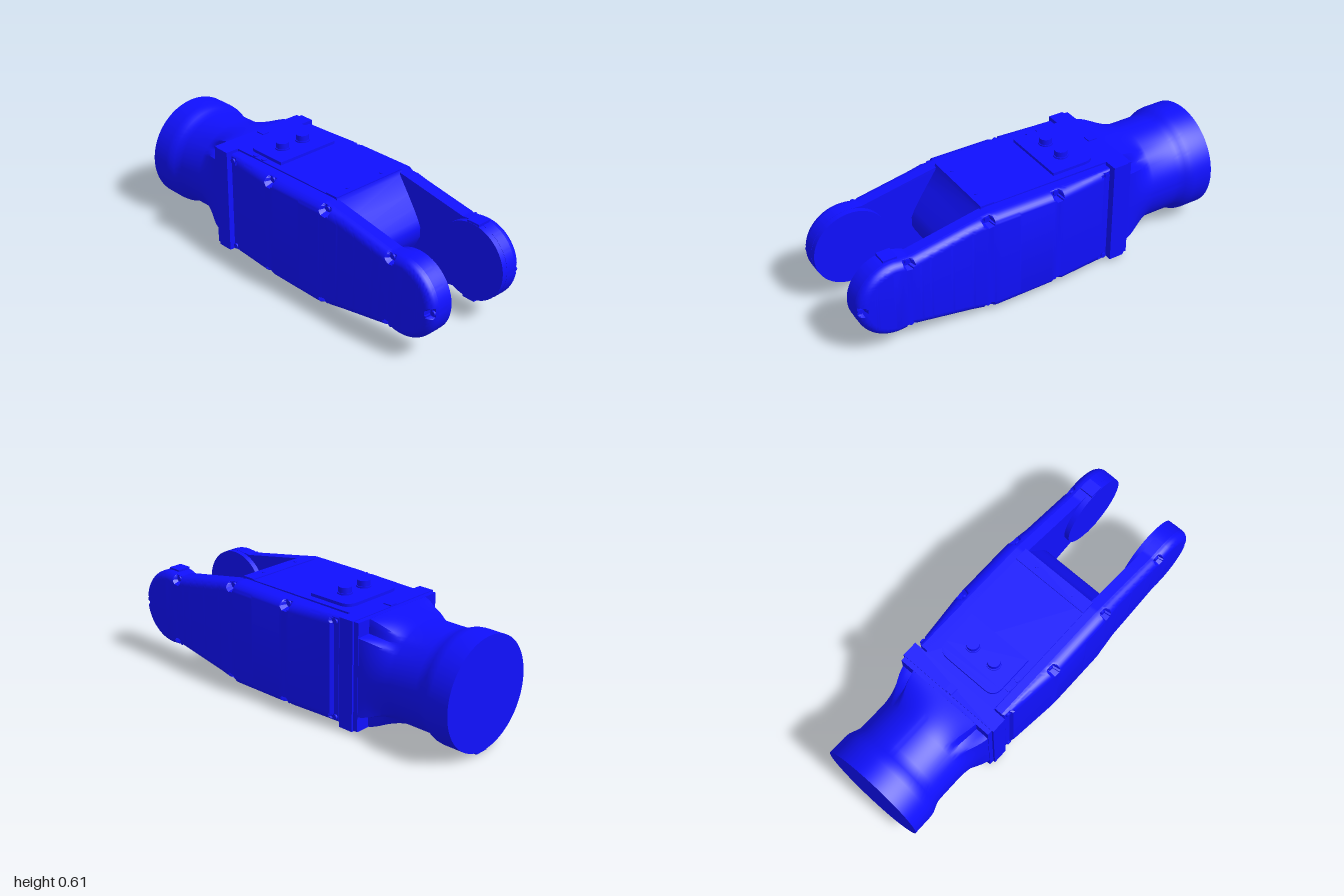
import * as THREE from 'three';
import { toCreasedNormals } from 'three/addons/utils/BufferGeometryUtils.js';

const BLUE = new THREE.MeshStandardMaterial({ color: 0x1010ff });
const MID = 0.288; // height of the long axis
const { lerp, smoothstep } = THREE.MathUtils;

function add(parent, name, geometry, x = 0, y = 0, z = 0) {
  const mesh = new THREE.Mesh(geometry, BLUE);
  mesh.name = name;
  mesh.position.set(x, y, z);
  parent.add(mesh);
  return mesh;
}
const box = (w, h, d) => new THREE.BoxGeometry(w, h, d);
const cylY = (r, h, n = 32) => new THREE.CylinderGeometry(r, r, h, n);
const cylZ = (r, h, n = 32) => cylY(r, h, n).rotateX(Math.PI / 2);

function indexed(points, index, crease = 0.5) {
  const g = new THREE.BufferGeometry();
  g.setAttribute('position', new THREE.Float32BufferAttribute(points, 3));
  g.setIndex(index);
  return toCreasedNormals(g, crease);
}

function extrude(points, z0, z1) {
  const shape = new THREE.Shape(points.map(([x, y]) => new THREE.Vector2(x, y)));
  const g = new THREE.ExtrudeGeometry(shape, { depth: z1 - z0, bevelEnabled: false });
  return toCreasedNormals(g.translate(0, 0, z0), 0.5);
}

// Upper half of the side outline: [x, half height], from rear to rounded tip
function halfOutline() {
  const keys = [[-0.37, 0.263], [0.3, 0.267], [0.72, 0.19], [0.77, 0.194]];
  const out = [];
  for (let i = 0; i < keys.length - 1; i++) {
    const [a, b] = [keys[i], keys[i + 1]];
    const n = Math.ceil((b[0] - a[0]) / 0.01);
    for (let k = 0; k < n; k++) out.push([lerp(a[0], b[0], k / n), lerp(a[1], b[1], k / n)]);
  }
  for (let k = 0; k <= 32; k++) {
    const a = (1 - k / 32) * Math.PI / 2;
    out.push([0.8 + 0.196 * Math.cos(a), 0.196 * Math.sin(a)]);
  }
  return out;
}
const HALF = halfOutline();
const flip = ([x, y]) => [x, -y];
const loopOf = (half) => [...half.map(flip), ...half.slice().reverse()];

// Screw pockets along the cover rim
const SCREWS = [[-0.345, 0.238], [-0.05, 0.25], [0.325, 0.245], [0.735, 0.175]]
  .flatMap((p) => [p, flip(p)]).concat([[0.98, 0]]);

// Outer face of the cover, swelling in the middle
function coverZ(x) {
  if (x < -0.05) return lerp(0.274, 0.307, (x + 0.37) / 0.32);
  return lerp(0.307, 0.295, Math.min(1, Math.max(0, (x - 0.28) / 0.14)));
}

// Cover: rings stepping inward over a rounded rim, capped by strips
function coverGeometry() {
  const base = 0.25, steps = 8, radius = 0.045, N = HALF.length, M = 2 * N;
  const normals = HALF.map((p, i) => {
    if (i === 0) return [-1, 1];
    if (i === N - 1) return [1, 0];
    const dx = HALF[i + 1][0] - HALF[i - 1][0], dy = HALF[i + 1][1] - HALF[i - 1][1];
    const l = Math.hypot(dx, dy);
    return [-dy / l, dx / l];
  });
  const points = [], index = [];
  for (let k = 0; k <= steps; k++) {
    const a = (k / steps) * Math.PI / 2, d = radius * (1 - Math.cos(a));
    const ring = loopOf(HALF.map(([x, h], i) => [x - d * normals[i][0], h - d * normals[i][1]]));
    for (const [x, y] of ring) {
      const inPocket = SCREWS.some(([sx, sy]) => Math.hypot(x - sx, y - sy) < 0.026);
      const z = lerp(base, coverZ(x), Math.sin(a));
      points.push(x, y, inPocket ? Math.min(z, 0.265) : z);
    }
  }
  for (let k = 0; k < steps; k++) {
    for (let j = 0; j < M; j++) {
      const a = k * M + j, b = k * M + (j + 1) % M;
      index.push(a, b, a + M, b, b + M, a + M);
    }
  }
  const o = steps * M;
  for (let i = 0; i < N - 1; i++) {
    const b = o + i, t = o + M - 1 - i;
    index.push(b, b + 1, t - 1, b, t - 1, t);
  }
  return indexed(points, index);
}

// Round barrel that flares into a square with notched corners
function neckGeometry() {
  const stations = [[-1, 0.275], [-0.9, 0.275], [-0.875, 0.272], [-0.85, 0.262], [-0.825, 0.252], [-0.8, 0.25]];
  for (let k = 0; k <= 8; k++) stations.push([-0.66 + 0.0225 * k, 0.25]);
  const M = 160, points = [], index = [];
  for (const [x, r] of stations) {
    const blend = lerp(smoothstep(x, -0.66, -0.48), (x + 0.66) / 0.18, 0.4);
    for (let j = 0; j < M; j++) {
      const a = (j / M) * Math.PI * 2, c = Math.cos(a), s = Math.sin(a);
      const [lo, hi] = [Math.abs(c), Math.abs(s)].sort((p, q) => p - q);
      const square = Math.min(0.268 / hi, 0.198 / Math.max(lo, 1e-6));
      const rr = x < -0.66 ? r : lerp(r, square, Math.max(0, blend));
      points.push(x, c * rr, s * rr);
    }
  }
  for (let i = 0; i < stations.length - 1; i++) {
    for (let j = 0; j < M; j++) {
      const a = i * M + j, b = i * M + (j + 1) % M;
      index.push(a, b, a + M, b, b + M, a + M);
    }
  }
  // end face
  const centre = points.length / 3;
  points.push(-1, 0, 0);
  for (let j = 0; j < M; j++) index.push(centre, (j + 1) % M, j);
  return indexed(points, index, 0.6);
}

export function createModel() {
  const model = new THREE.Group();
  model.name = 'robotArmLink';

  // Barrel end and mounting collar
  add(model, 'neck', neckGeometry(), 0, MID, 0);
  add(model, 'barrelKey', box(0.1, 0.02, 0.075), -0.94, 0.01, 0);
  add(model, 'flange', box(0.03, 0.536, 0.54), -0.47, MID, 0);
  add(model, 'collar', box(0.08, 0.544, 0.56), -0.42, MID, 0);
  add(model, 'collarLug', box(0.045, 0.008, 0.04), -0.435, MID + 0.273, 0);

  // Core block ending in a rounded wedge between the fork arms
  const nose = [[0.32, 0.272], [0.325, 0.25], [0.38, 0.17], [0.42, 0.11], [0.45, 0.06], [0.466, 0.025]];
  const core = [[-0.385, -0.272], ...nose.map(flip), ...nose.slice().reverse(), [-0.385, 0.272]];
  add(model, 'core', extrude(core, -0.21, 0.21), 0, MID, 0);

  // Edge strips with screws, above and below
  for (const s of [1, -1]) {
    add(model, 'edgeStrip', box(0.07, 0.01, 0.42), 0.285, MID + s * 0.272, 0);
    for (const z of [-0.11, 0.11]) add(model, 'stripScrew', cylY(0.009, 0.004, 16), 0.285, MID + s * 0.278, z);
  }

  // Fork arms with their covers, one turned about the long axis for the other side
  const cover = coverGeometry(), arm = extrude(loopOf(HALF).filter((p, i) => i !== HALF.length), 0.198, 0.25);
  for (const s of [1, -1]) {
    const side = new THREE.Group();
    side.name = s > 0 ? 'frontSide' : 'backSide';
    side.position.y = MID;
    if (s < 0) side.rotation.x = Math.PI;
    add(side, 'forkArm', arm);
    add(side, 'cover', cover);
    add(side, 'jointBoss', cylZ(0.195, 0.03, 64), 0.8, 0, 0.185);
    for (const [x, y] of SCREWS) add(side, 'coverScrew', cylZ(0.013, 0.012, 16), x, y, 0.268);
    model.add(side);
  }
  add(model, 'armTab', box(0.07, 0.408, 0.073), 0.805, MID, -0.208);

  // Connector plate on top, rounded toward the neck
  const plate = new THREE.Shape();
  plate.moveTo(-0.1, -0.175);
  plate.lineTo(-0.1, 0.175);
  plate.lineTo(-0.28, 0.175);
  plate.quadraticCurveTo(-0.34, 0.175, -0.34, 0.115);
  plate.lineTo(-0.34, -0.115);
  plate.quadraticCurveTo(-0.34, -0.175, -0.28, -0.175);
  const plateGeo = new THREE.ExtrudeGeometry(plate, { depth: 0.016, bevelEnabled: false });
  add(model, 'connectorPlate', plateGeo.rotateX(-Math.PI / 2), 0, 0.559, 0);
  for (const z of [0.065, -0.065]) {
    add(model, 'connectorBase', cylY(0.037, 0.008), -0.215, 0.578, z);
    add(model, 'connector', cylY(0.032, 0.036), -0.215, 0.592, z);
  }
  for (const x of [-0.26, -0.2]) add(model, 'plug', cylY(0.014, 0.008, 20), x, 0.562, 0.195);
  return model;
}
